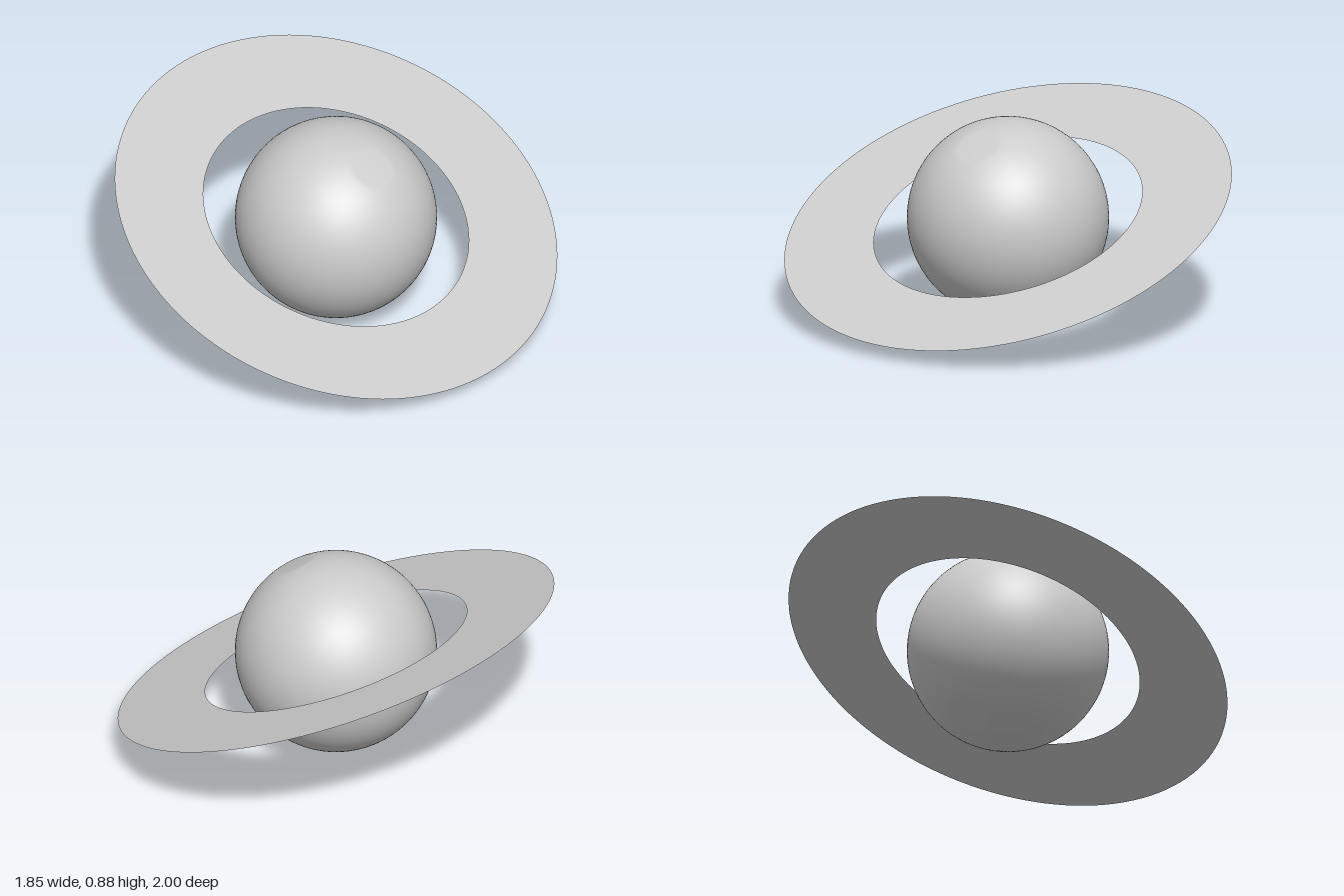
import * as THREE from 'three';

const RADIUS = 0.44;
const RING_TILT = THREE.MathUtils.degToRad(-22.2);
const POLE_TILT = THREE.MathUtils.degToRad(-31);
const CAP_ANGLE = THREE.MathUtils.degToRad(12); // half-angle of the flattened poles

// Half-circle profile whose two ends are cut off flat.
function globeProfile(steps = 48) {
  const points = [];
  for (let i = 0; i <= steps; i++) {
    const a = CAP_ANGLE + (i / steps) * (Math.PI - 2 * CAP_ANGLE);
    points.push(new THREE.Vector2(Math.sin(a) * RADIUS, -Math.cos(a) * RADIUS));
  }
  points.unshift(new THREE.Vector2(0, points[0].y));
  points.push(new THREE.Vector2(0, points[points.length - 1].y));
  return points;
}

export function createModel() {
  const model = new THREE.Group();
  model.name = 'ringedPlanet';

  // Globe, leaning towards +x, with slightly flattened poles
  const globe = new THREE.Mesh(
    new THREE.LatheGeometry(globeProfile(), 96),
    new THREE.MeshStandardMaterial({ color: 0xcccccc })
  );
  globe.name = 'globe';
  globe.position.y = RADIUS;
  globe.rotation.z = POLE_TILT;
  model.add(globe);

  // Thin flat ring, seen from both sides
  const ringGeometry = new THREE.RingGeometry(0.6, 1, 128).rotateX(-Math.PI / 2);
  const ring = new THREE.Mesh(
    ringGeometry,
    new THREE.MeshStandardMaterial({ color: 0xcccccc, side: THREE.DoubleSide })
  );
  ring.name = 'ring';
  ring.position.y = RADIUS;
  ring.rotation.z = RING_TILT;
  model.add(ring);

  return model;
}
